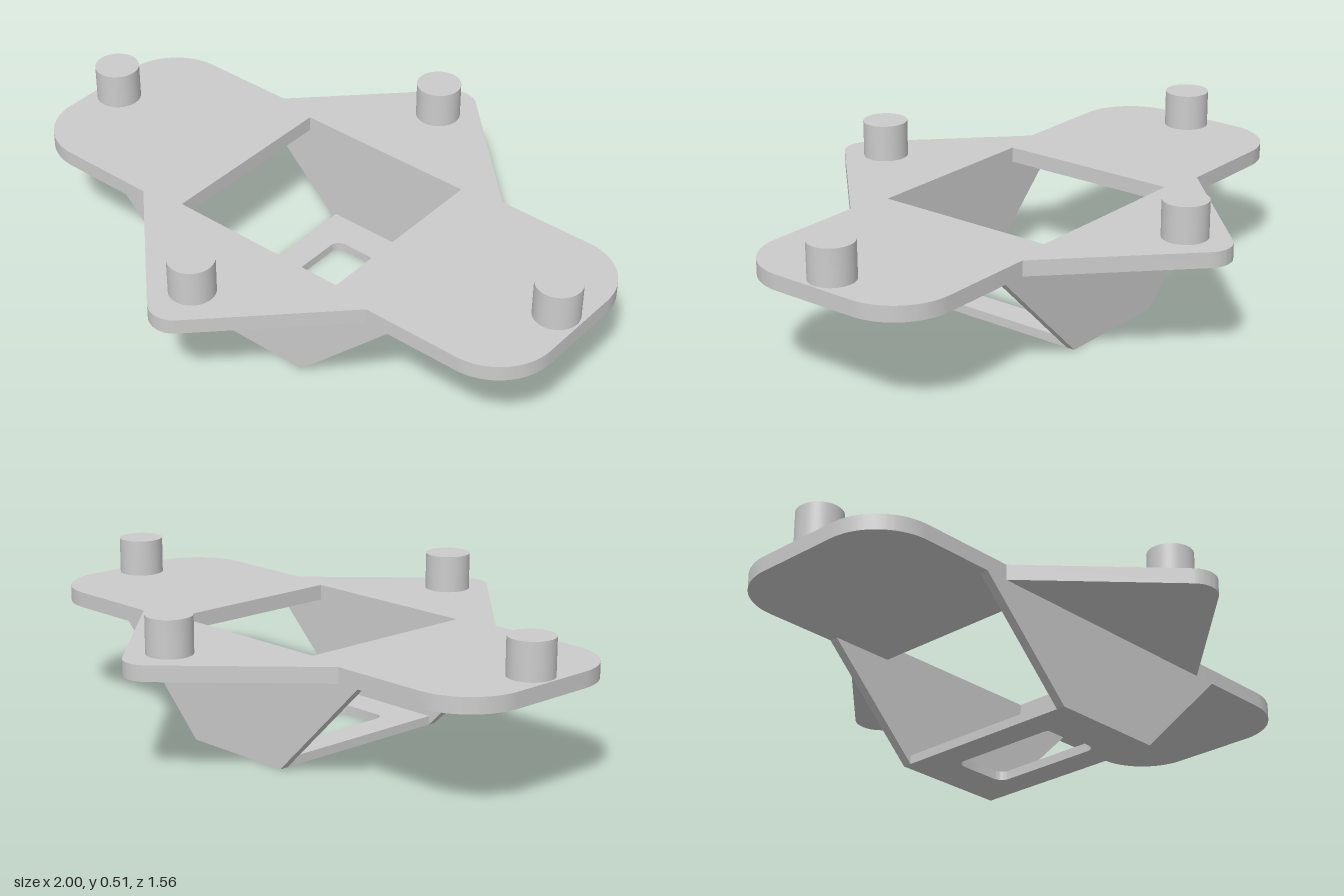
import * as THREE from 'three';
import { toCreasedNormals } from 'three/addons/utils/BufferGeometryUtils.js';

const material = new THREE.MeshStandardMaterial({ color: 0xcccccc });
const PLATE_Y = 0.335, PLATE_TOP = 0.387, WALL = 0.03, HALF_DEPTH = 0.35;

function addMesh(group, name, geometry, x = 0, y = 0, z = 0) {
  const mesh = new THREE.Mesh(geometry, material);
  mesh.name = name;
  mesh.position.set(x, y, z);
  group.add(mesh);
}

function roundedRect(path, hx, hy, r) {
  path.moveTo(hx, -hy + r);
  path.absarc(hx - r, hy - r, r, 0, Math.PI / 2);
  path.absarc(-hx + r, hy - r, r, Math.PI / 2, Math.PI);
  path.absarc(-hx + r, -hy + r, r, Math.PI, Math.PI * 1.5);
  path.absarc(hx - r, -hy + r, r, Math.PI * 1.5, Math.PI * 2);
  path.closePath();
  return path;
}

function rect(path, hx, hy) {
  path.moveTo(-hx, -hy);
  path.lineTo(hx, -hy);
  path.lineTo(hx, hy);
  path.lineTo(-hx, hy);
  path.closePath();
  return path;
}

function extrude(shape, depth) {
  const geometry = new THREE.ExtrudeGeometry(shape, { depth, bevelEnabled: false, curveSegments: 16 });
  return toCreasedNormals(geometry, 0.5);
}

// Two round-cornered wings crossed with a diamond whose tips are rounded
function plateShape() {
  const s = new THREE.Shape();
  const r = 0.2, cz = HALF_DEPTH - r, neck = 0.465;
  const tipR = 0.085, tipZ = 0.78 - tipR;
  const q = Math.PI / 4;
  s.moveTo(1, -cz);
  s.absarc(1 - r, cz, r, 0, 2 * q);
  s.lineTo(neck, HALF_DEPTH);
  s.absarc(0, tipZ, tipR, q, 3 * q);
  s.lineTo(-neck, HALF_DEPTH);
  s.absarc(-1 + r, cz, r, 2 * q, 4 * q);
  s.absarc(-1 + r, -cz, r, 4 * q, 6 * q);
  s.lineTo(-neck, -HALF_DEPTH);
  s.absarc(0, -tipZ, tipR, 5 * q, 7 * q);
  s.lineTo(neck, -HALF_DEPTH);
  s.absarc(1 - r, -cz, r, 6 * q, 8 * q);
  s.holes.push(rect(new THREE.Path(), 0.322, HALF_DEPTH - WALL));
  return s;
}

export function createModel() {
  const group = new THREE.Group();
  group.name = 'mountingBracket';

  // Top plate with its square opening
  const plate = extrude(plateShape(), PLATE_TOP - PLATE_Y).rotateX(-Math.PI / 2);
  addMesh(group, 'topPlate', plate, 0, PLATE_Y, 0);

  // Floor with a rounded slot
  const floor = rect(new THREE.Shape(), 0.205, HALF_DEPTH - WALL);
  floor.holes.push(roundedRect(new THREE.Path(), 0.105, 0.207, 0.035));
  addMesh(group, 'floor', extrude(floor, WALL).rotateX(-Math.PI / 2));

  // Tapered walls joining the floor to the plate
  const wall = new THREE.Shape([[-0.205, 0], [0.205, 0], [0.547, PLATE_Y], [-0.547, PLATE_Y]]
    .map(([x, y]) => new THREE.Vector2(x, y)));
  const wallGeometry = extrude(wall, WALL);
  addMesh(group, 'frontWall', wallGeometry, 0, 0, HALF_DEPTH - WALL);
  addMesh(group, 'backWall', wallGeometry, 0, 0, -HALF_DEPTH);

  // Four locating pegs
  const pegHeight = 0.51 - PLATE_TOP;
  const peg = new THREE.CylinderGeometry(0.075, 0.075, pegHeight, 48);
  const pegs = { leftPeg: [0.917, 0], rightPeg: [-0.917, 0], frontPeg: [0, 0.618], backPeg: [0, -0.618] };
  for (const [name, [x, z]] of Object.entries(pegs)) {
    addMesh(group, name, peg, x, PLATE_TOP + pegHeight / 2, z);
  }
  return group;
}
